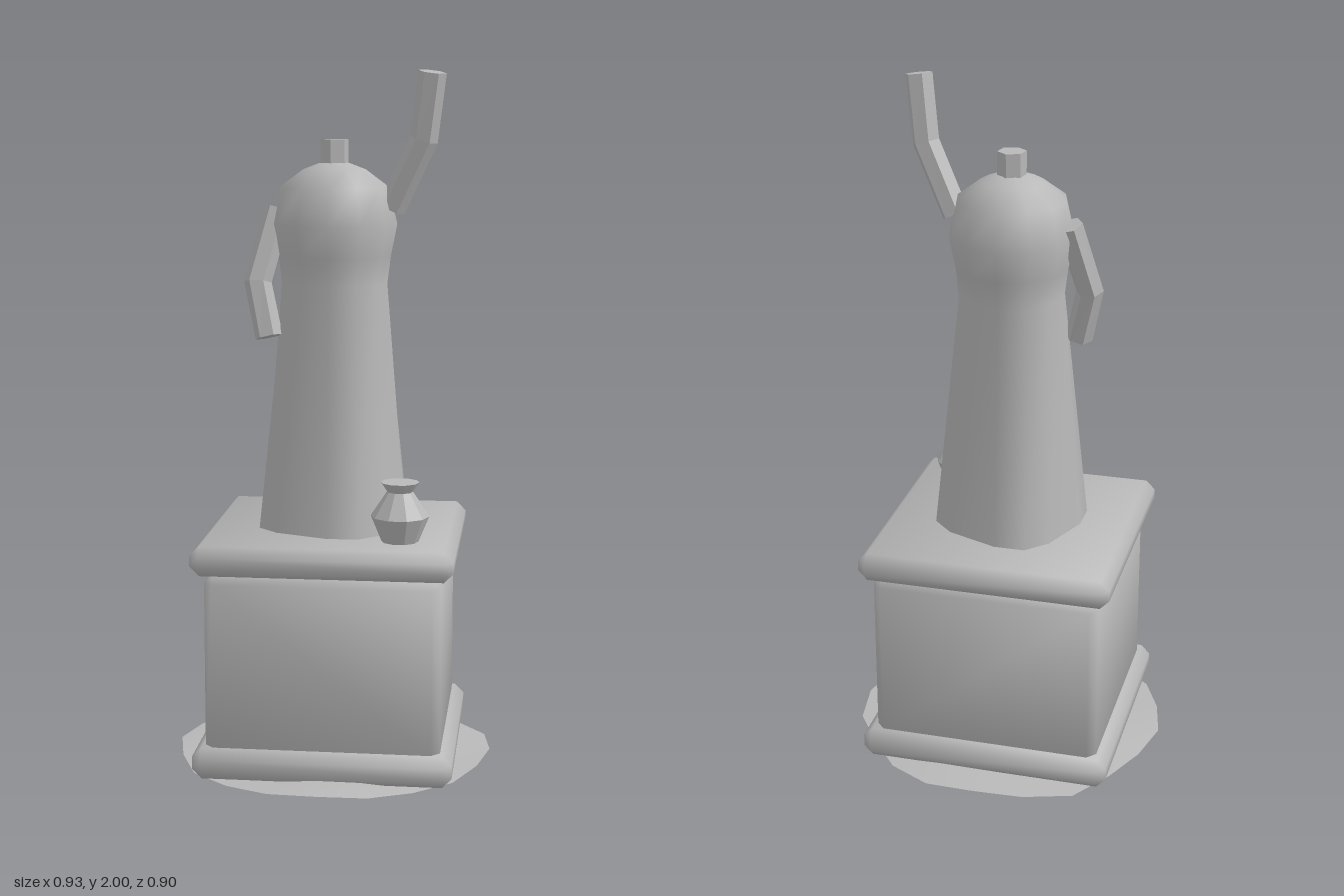
import * as THREE from 'three';
import { mergeVertices } from 'three/addons/utils/BufferGeometryUtils.js';
import { ConvexGeometry } from 'three/addons/geometries/ConvexGeometry.js';

// Box with every edge cut by a chamfer, softly shaded across its faces
function chamferBox(w, h, d, c) {
  const half = [w / 2, h / 2, d / 2], points = [];
  for (const x of [-1, 1]) for (const y of [-1, 1]) for (const z of [-1, 1]) {
    for (let axis = 0; axis < 3; axis++) {
      const corner = [x, y, z].map((s, k) => s * (half[k] - (k === axis ? 0 : c)));
      points.push(new THREE.Vector3(...corner));
    }
  }
  const g = new ConvexGeometry(points);
  const p = g.attributes.position, n = new THREE.Vector3();
  for (let i = 0; i < p.count; i++) {
    // Angle-weighted normal: mostly along the face, leaning to the corner
    n.set(...[p.getX(i), p.getY(i), p.getZ(i)].map(
      (v, k) => Math.sign(v) * (half[k] - Math.abs(v) < c / 2 ? 4.4 : 1.7))).normalize();
    g.attributes.normal.setXYZ(i, n.x, n.y, n.z);
  }
  return g;
}

// Loft a stack of rings of [x, y, z], each clockwise seen from its far end
function loft(rings, caps = false) {
  const n = rings[0].length, index = [];
  for (let r = 0; r < rings.length - 1; r++) {
    for (let i = 0; i < n; i++) {
      const a = r * n + i, b = r * n + (i + 1) % n, c = a + n, d = b + n;
      index.push(a, c, b, b, c, d);
    }
  }
  if (caps) {
    const last = (rings.length - 1) * n;
    for (let i = 1; i < n - 1; i++) {
      index.push(0, i, i + 1, last, last + i + 1, last + i);
    }
  }
  const g = new THREE.BufferGeometry();
  g.setAttribute('position', new THREE.Float32BufferAttribute(rings.flat(2), 3));
  g.setIndex(index);
  g.computeVertexNormals();
  return g;
}

// Six-sided bent limb
function limb(points, radius) {
  const pts = points.map((p) => new THREE.Vector3(...p));
  const rings = pts.map((p, k) => {
    const a = pts[Math.max(k - 1, 0)], b = pts[Math.min(k + 1, pts.length - 1)];
    const dir = b.clone().sub(a).normalize();
    const u = new THREE.Vector3(0, 0, 1).cross(dir).normalize();
    const v = dir.clone().cross(u);
    return Array.from({ length: 6 }, (_, i) => {
      const t = -i * Math.PI / 3;
      return p.clone().addScaledVector(u, radius * Math.cos(t))
        .addScaledVector(v, radius * Math.sin(t)).toArray();
    });
  });
  return loft(rings, true);
}

// Thin uneven patch with a ragged outline
function groundPatch() {
  const radii = [0.465, 0.455, 0.457, 0.447, 0.457, 0.45, 0.457, 0.454, 0.466, 0.457,
    0.465, 0.452, 0.452, 0.482, 0.465, 0.455, 0.47, 0.462, 0.447, 0.467];
  const g = new THREE.RingGeometry(0.001, 1, 20, 5).rotateX(-Math.PI / 2);
  const p = g.attributes.position;
  for (let i = 0; i < p.count; i++) {
    const x = p.getX(i), z = p.getZ(i);
    const t = Math.hypot(x, z), a = Math.atan2(z, x);
    const r = radii[(Math.round(a / (Math.PI / 10)) + 20) % 20];
    const lumps = Math.sin(Math.PI * t) * Math.sin(3 * a + 1 + 4 * t);
    const y = 0.006 + 0.012 * Math.sin(Math.PI * t) + 0.012 * lumps
      + 0.006 * t * Math.sin(4 * a + 1.5);
    p.setXYZ(i, x * r, Math.max(0, y), z * r);
  }
  g.deleteAttribute('normal');
  g.deleteAttribute('uv');
  const merged = mergeVertices(g, 1e-4);
  merged.computeVertexNormals();
  return merged;
}

// Robe: squarish uneven hem blending into a round torso and shoulders
function robedBody() {
  const hem = [[0, 0.21], [0.15, 0.15], [0.21, 0.09]];
  const profile = [
    [0.685, 0.21, 0], [1.4, 0.153, 0.85], [1.48, 0.163, 1], [1.57, 0.181, 1],
    [1.675, 0.157, 1], [1.725, 0.09, 1], [1.742, 0.045, 1], [1.75, 0.001, 1],
  ];
  return loft(profile.map(([y, r, round]) => Array.from({ length: 12 }, (_, i) => {
    // Hem corners repeat every quarter turn, starting from the back
    const [hx, hz] = hem[i % 3], q = Math.floor(i / 3) * Math.PI / 2;
    const c = Math.cos(q), s = Math.sin(q), t = i * Math.PI / 6, k = r / 0.21;
    return [
      THREE.MathUtils.lerp((hx * c + hz * s) * k, r * Math.sin(t), round), y,
      THREE.MathUtils.lerp((hx * s - hz * c) * k, -r * Math.cos(t), round),
    ];
  })));
}

export function createModel() {
  const group = new THREE.Group();
  // One colour; variants differ only in shading and sidedness
  const stone = new THREE.MeshStandardMaterial({ color: 0xb8b8b8 });
  stone.name = 'stone grey';
  const flatStone = stone.clone();
  flatStone.flatShading = true;
  const thinStone = stone.clone();
  thinStone.side = THREE.DoubleSide;

  function add(name, geometry, material, x = 0, y = 0, z = 0) {
    const mesh = new THREE.Mesh(geometry, material);
    mesh.name = name;
    mesh.position.set(x, y, z);
    group.add(mesh);
  }

  add('groundPatch', groundPatch(), thinStone);

  // Plinth
  add('plinthFoot', chamferBox(0.74, 0.09, 0.74, 0.027), stone, 0, 0.057, 0);
  add('plinthBlock', chamferBox(0.67, 0.53, 0.67, 0.025), stone, 0, 0.338, 0);
  add('plinthTop', chamferBox(0.74, 0.085, 0.74, 0.027), stone, 0, 0.6475, 0);

  // Figure
  add('robedBody', robedBody(), thinStone);
  add('neckStub', new THREE.CylinderGeometry(0.041, 0.041, 0.08, 6).rotateY(0.87),
    flatStone, 0, 1.77, 0);
  add('raisedLeftArm', limb([
    [0.165, 1.615, 0.005], [0.258, 1.81, 0.035], [0.282, 1.998, 0.057]], 0.04), flatStone);
  add('loweredRightArm', limb([
    [-0.18, 1.25, 0.08], [-0.216, 1.405, 0.05], [-0.165, 1.61, -0.005]], 0.04), flatStone);

  // Small jar beside the hem
  const jar = [[0, 0], [0.052, 0], [0.083, 0.075], [0.037, 0.145], [0.055, 0.172], [0, 0.172]]
    .map(([r, y]) => new THREE.Vector2(r, y));
  add('jar', new THREE.LatheGeometry(jar, 10).rotateY(Math.PI / 2), flatStone, 0.21, 0.688, 0.21);

  return group;
}
